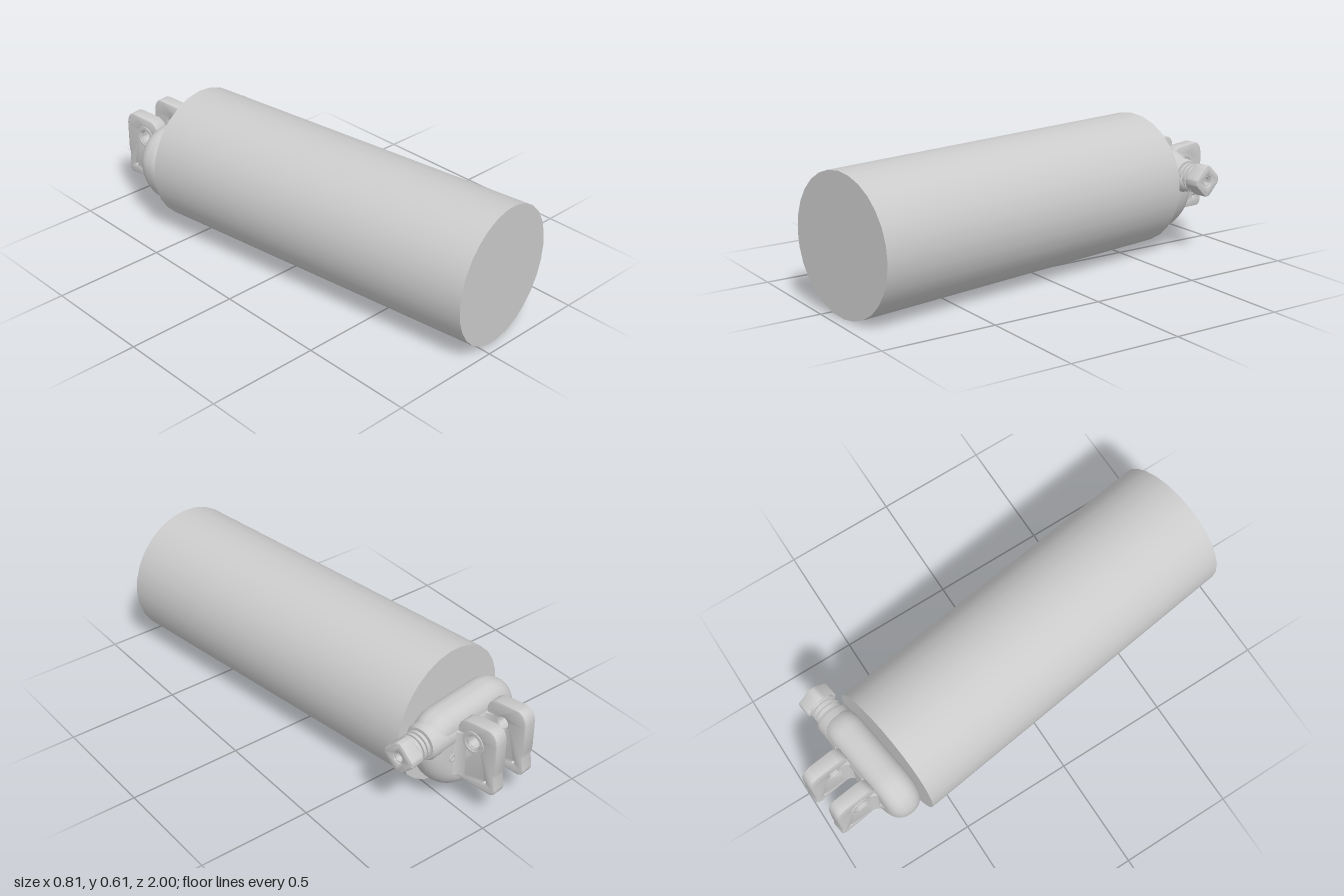
import * as THREE from 'three';
import { toCreasedNormals } from 'three/addons/utils/BufferGeometryUtils.js';

const material = new THREE.MeshStandardMaterial({ color: 0xcccccc });

function add(parent, name, geometry, x = 0, y = 0, z = 0) {
  const mesh = new THREE.Mesh(geometry, material);
  mesh.name = name;
  mesh.position.set(x, y, z);
  parent.add(mesh);
  return mesh;
}

// Extrusion with a rounded edge, centred on its own depth
function extrude(shape, thickness, bevel, segments = 2) {
  const geometry = new THREE.ExtrudeGeometry(shape, {
    depth: thickness - 2 * bevel, bevelEnabled: true, bevelThickness: bevel,
    bevelSize: bevel, bevelSegments: segments, curveSegments: 16,
  });
  geometry.translate(0, 0, bevel - thickness / 2);
  return toCreasedNormals(geometry, 0.6);
}

function addHole(shape, x, y, r) {
  const hole = new THREE.Path();
  hole.absarc(x, y, r, 0, Math.PI * 2, true);
  shape.holes.push(hole);
}

// Revolved part whose axis runs along x; profile points are [radius, x]
function latheX(profile, segments = 24) {
  const geometry = new THREE.LatheGeometry(profile.map(([r, x]) => new THREE.Vector2(r, x)), segments);
  geometry.rotateZ(-Math.PI / 2);
  return toCreasedNormals(geometry, 0.6);
}

const ring = (inner, outer, half) => latheX(
  [[inner, -half], [outer, -half], [outer, half], [inner, half], [inner, -half]]);

// D-shaped housing behind the tank
function housingGeometry() {
  const s = new THREE.Shape();
  s.moveTo(-0.195, 0);
  s.absarc(0, 0, 0.195, Math.PI, Math.PI * 2, false);
  s.lineTo(0.195, 0.03);
  s.quadraticCurveTo(0.19, 0.07, 0.14, 0.07);
  s.lineTo(-0.1, 0.07);
  s.quadraticCurveTo(-0.18, 0.07, -0.195, 0);
  return extrude(s, 0.154, 0.07, 6);
}

// Mounting lug plate: shape x runs backwards, y up; turned to face sideways
function lugGeometry() {
  const s = new THREE.Shape();
  s.moveTo(0.12, -0.158);
  s.lineTo(0.325, -0.163);
  s.quadraticCurveTo(0.341, -0.16, 0.341, -0.14);
  s.lineTo(0.333, -0.09);
  s.quadraticCurveTo(0.333, -0.07, 0.339, -0.05);
  s.lineTo(0.339, 0.07);
  s.quadraticCurveTo(0.338, 0.127, 0.3, 0.127);
  s.lineTo(0.2, 0.122);
  s.quadraticCurveTo(0.165, 0.11, 0.16, 0.075);
  s.lineTo(0.12, 0.06);
  addHole(s, 0.233, 0.04, 0.036);
  addHole(s, 0.3, -0.12, 0.013);
  return extrude(s, 0.064, 0.008).rotateY(Math.PI / 2);
}

// Flared root that blends a lug into the housing
function rootGeometry() {
  const s = new THREE.Shape();
  s.moveTo(-0.075, 0);
  s.quadraticCurveTo(-0.033, 0.005, -0.031, 0.06);
  s.lineTo(0.031, 0.06);
  s.quadraticCurveTo(0.033, 0.005, 0.075, 0);
  const g = new THREE.ExtrudeGeometry(s, { depth: 0.21, bevelEnabled: false, curveSegments: 6 });
  return toCreasedNormals(g.rotateX(-Math.PI / 2), 0.6);
}

// Rounded diamond cap at the end of the side port
function portCapGeometry() {
  const r = 0.072, s = new THREE.Shape();
  const corners = [0, 1, 2, 3].map((i) => new THREE.Vector2(
    r * 1.05 * Math.cos(i * Math.PI / 2), r * Math.sin(i * Math.PI / 2)));
  corners.forEach((c, i) => {
    const from = c.clone().lerp(corners[(i + 3) % 4], 0.25);
    const to = c.clone().lerp(corners[(i + 1) % 4], 0.25);
    if (i === 0) s.moveTo(from.x, from.y); else s.lineTo(from.x, from.y);
    s.quadraticCurveTo(c.x, c.y, to.x, to.y);
  });
  s.closePath();
  addHole(s, 0, 0, 0.03);
  return extrude(s, 0.07, 0.008).rotateY(Math.PI / 2);
}

export function createModel() {
  const model = new THREE.Group();
  model.name = 'tankWithMount';

  // Everything is built square to the tank axis, then tilted as one
  const unit = new THREE.Group();
  unit.name = 'unit';
  unit.position.set(-0.11, 0.314, -0.645);
  unit.rotation.set(0.0065, 0.135, 0, 'YXZ');
  model.add(unit);

  // Tank
  const length = 1.614;
  const tank = new THREE.CylinderGeometry(0.3, 0.3, length, 28);
  tank.rotateX(Math.PI / 2);
  add(unit, 'tank', tank, 0, 0, length / 2);

  // Housing with a tubular ridge along its top
  add(unit, 'housing', housingGeometry(), 0, 0, -0.079);
  add(unit, 'housingRidge', latheX([[0, -0.2], [0.045, -0.19], [0.07, -0.15], [0.078, -0.08],
    [0.078, 0.25], [0.07, 0.265], [0, 0.265]]), 0, 0.036, -0.084);

  // Side port: ribbed neck and diamond cap
  const port = new THREE.Group();
  port.name = 'sidePort';
  port.position.set(0, 0.036, -0.084);
  unit.add(port);
  add(port, 'portNeck', latheX([[0.046, 0.25], [0.046, 0.34]]));
  for (let i = 0; i < 3; i++) add(port, 'neckRib', ring(0.04, 0.062, 0.007), 0.278 + i * 0.022);
  add(port, 'portCap', portCapGeometry(), 0.357);
  add(port, 'portLip', ring(0.018, 0.031, 0.025), 0.36);
  add(port, 'portPlug', latheX([[0, -0.01], [0.03, -0.01], [0.03, 0.01], [0, 0.01]]), 0.35);
  // Lower web carrying the neck
  const web = new THREE.CapsuleGeometry(0.05, 0.17, 6, 16);
  web.rotateZ(Math.PI / 2);
  add(port, 'portWeb', web, 0.19, -0.015, 0.018);

  // Pair of mounting lugs
  for (const side of [-1, 1]) {
    const lug = new THREE.Group();
    lug.name = side < 0 ? 'rightLug' : 'leftLug';
    lug.position.x = side * 0.088;
    unit.add(lug);
    add(lug, 'lugPlate', lugGeometry());
    add(lug, 'lugRoot', rootGeometry(), 0, -0.15, -0.148);
    add(lug, 'lugBushing', ring(0.026, 0.038, 0.026), 0, 0.04, -0.233);
    add(lug, 'lugBoss', ring(0.038, 0.052, 0.004), side * 0.033, 0.04, -0.233);
  }

  // Small fastener rims on the housing face
  for (const [x, y] of [[0, -0.16], [-0.15, -0.06], [0.15, -0.06]]) {
    add(unit, 'fastenerRim', new THREE.TorusGeometry(0.014, 0.004, 6, 16), x, y, -0.156);
  }
  return model;
}
